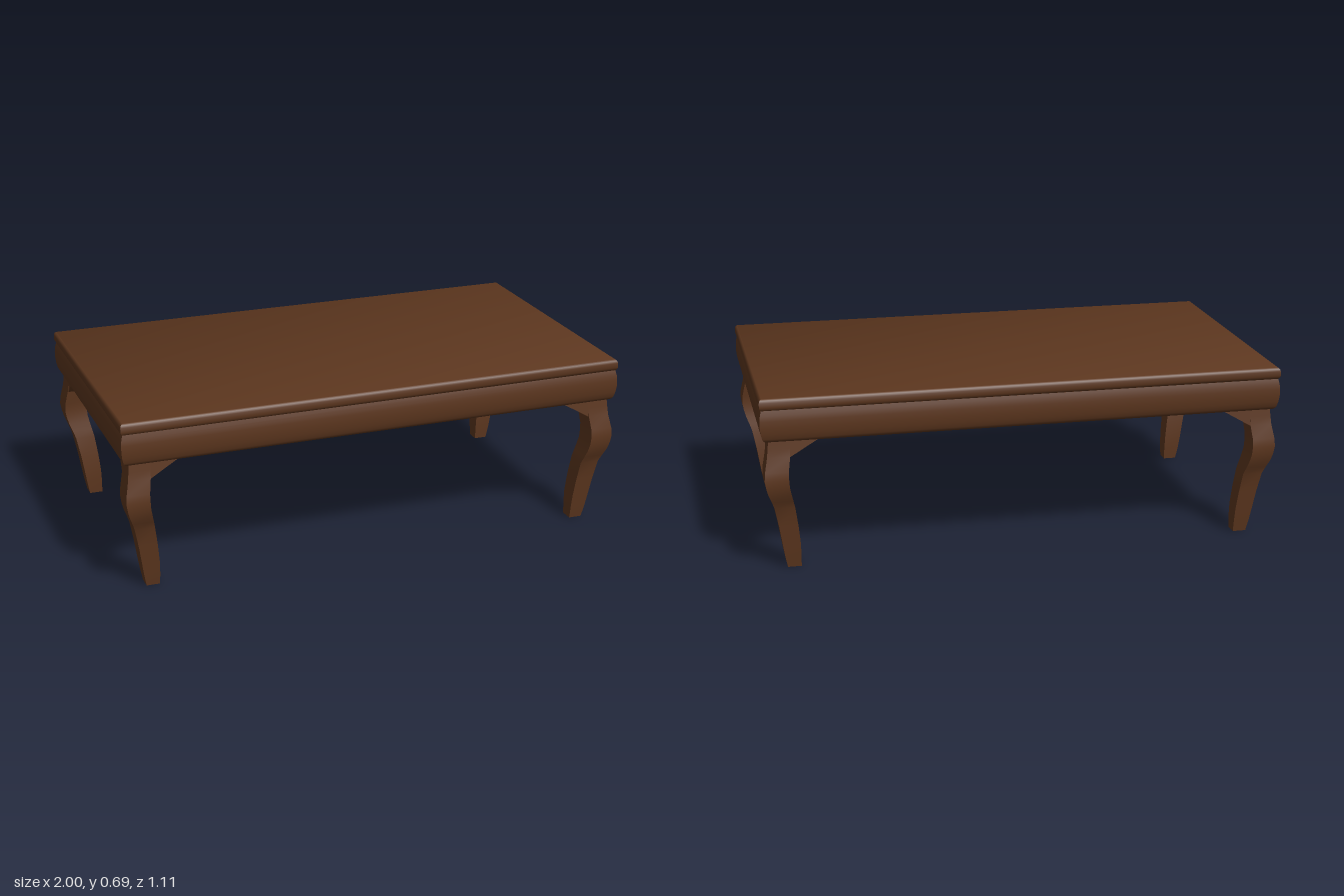
import * as THREE from 'three';
import { toCreasedNormals } from 'three/addons/utils/BufferGeometryUtils.js';

const wood = new THREE.MeshStandardMaterial({ color: 0x5c361e });

// Closed solid through rectangles [y, xA, xB, zA, zB], listed from bottom to top
function loft(name, sections, crease = 0.7) {
  const pos = [], index = [];
  for (const [y, xa, xb, za, zb] of sections) {
    const x0 = Math.min(xa, xb), x1 = Math.max(xa, xb);
    const z0 = Math.min(za, zb), z1 = Math.max(za, zb);
    pos.push(x0, y, z1, x1, y, z1, x1, y, z0, x0, y, z0);
  }
  for (let i = 0; i < sections.length - 1; i++) {
    for (let k = 0; k < 4; k++) {
      const a = i * 4 + k, b = i * 4 + (k + 1) % 4;
      index.push(a, b, b + 4, a, b + 4, a + 4);
    }
  }
  const t = (sections.length - 1) * 4;
  index.push(0, 2, 1, 0, 3, 2, t, t + 1, t + 2, t, t + 2, t + 3);
  const geo = new THREE.BufferGeometry();
  geo.setAttribute('position', new THREE.Float32BufferAttribute(pos, 3));
  geo.setIndex(index);
  const mesh = new THREE.Mesh(toCreasedNormals(geo, crease), wood);
  mesh.name = name;
  return mesh;
}

// Rectangular slab with a moulded edge, from [y, half depth] points
function slab(name, profile) {
  return loft(name, profile.map(([y, d]) => [y, -d - 0.445, d + 0.445, -d, d]), 0.9);
}

// Leg sections: y, outer x, inner x, outer z, inner z
const legSections = [
  [0, 0.91, 0.858, 0.485, 0.432],
  [0.05, 0.92, 0.858, 0.493, 0.429],
  [0.1, 0.928, 0.86, 0.5, 0.428],
  [0.17, 0.939, 0.867, 0.509, 0.432],
  [0.25, 0.955, 0.878, 0.52, 0.44],
  [0.28, 0.965, 0.885, 0.534, 0.446],
  [0.31, 0.977, 0.892, 0.547, 0.452],
  [0.34, 0.985, 0.898, 0.554, 0.457],
  [0.37, 0.99, 0.9, 0.556, 0.459],
  [0.4, 0.988, 0.9, 0.553, 0.458],
  [0.455, 0.977, 0.892, 0.54, 0.449],
  [0.49, 0.973, 0.89, 0.536, 0.447],
  [0.52, 0.97, 0.89, 0.533, 0.447],
];

function leg(name, sx, sz) {
  const group = new THREE.Group();
  group.name = name;
  const place = s => s.map(([y, xa, xb, za, zb]) => [y, sx * xa, sx * xb, sz * za, sz * zb]);
  group.add(loft('legPost', place(legSections)));
  // Corner brackets flaring out under the apron
  group.add(loft('longBracket', place([
    [0.455, 0.93, 0.89, 0.538, 0.45], [0.518, 0.93, 0.782, 0.532, 0.447]])));
  group.add(loft('shortBracket', place([
    [0.455, 0.975, 0.89, 0.5, 0.447], [0.518, 0.969, 0.888, 0.5, 0.388]])));
  return group;
}

export function createModel() {
  const table = new THREE.Group();
  table.name = 'lowTable';
  table.add(slab('apron', [
    [0.515, 0.533], [0.521, 0.542], [0.53, 0.547], [0.55, 0.552], [0.575, 0.555],
    [0.6, 0.555], [0.62, 0.553], [0.64, 0.548]]));
  table.add(slab('tableTop', [
    [0.64, 0.547], [0.645, 0.552], [0.653, 0.555], [0.671, 0.555],
    [0.68, 0.552], [0.685, 0.546]]));
  // One leg at each corner
  for (const sx of [1, -1]) {
    for (const sz of [1, -1]) {
      table.add(leg((sz > 0 ? 'front' : 'back') + (sx > 0 ? 'Left' : 'Right') + 'Leg', sx, sz));
    }
  }
  return table;
}
